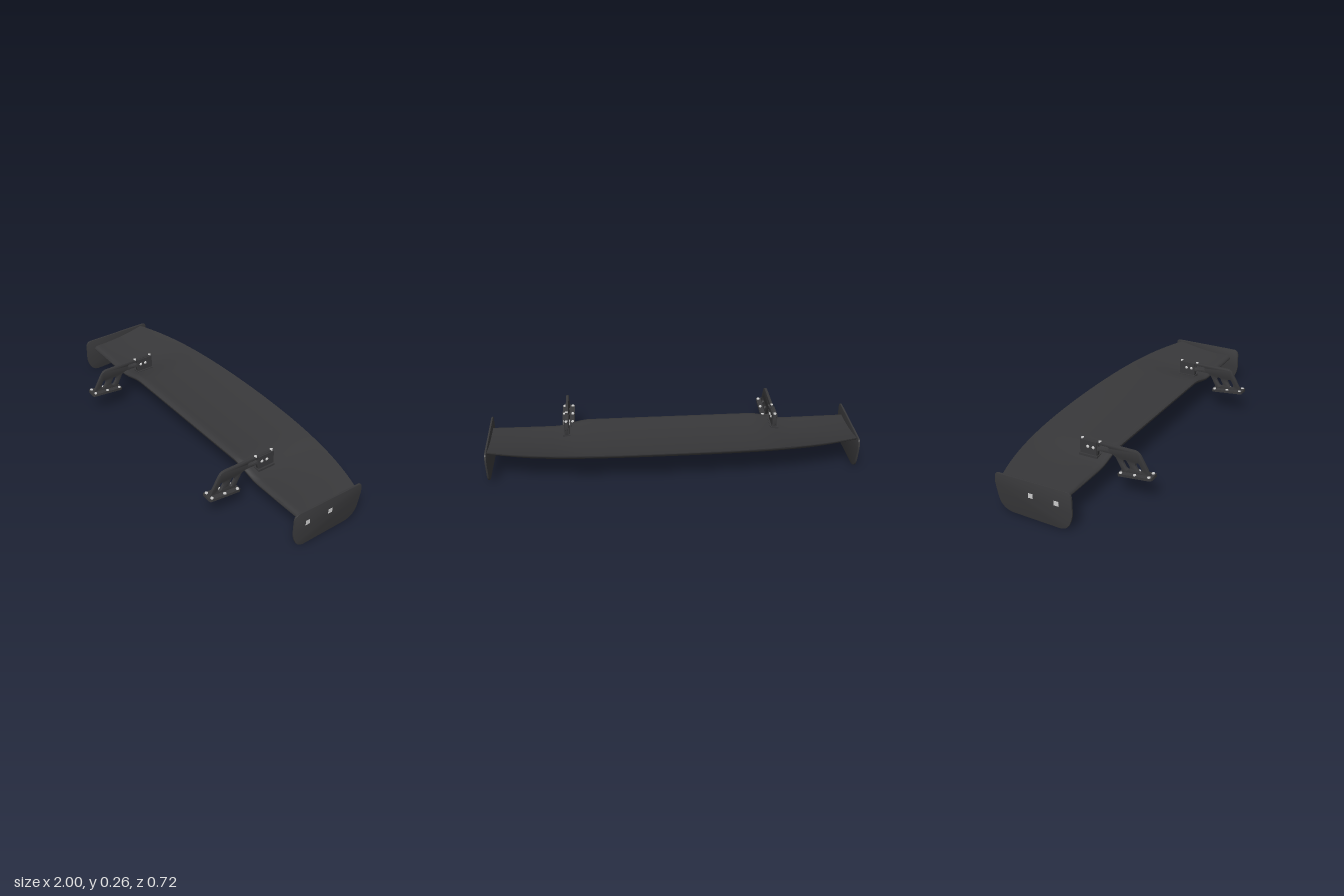
import * as THREE from 'three';
import { toCreasedNormals } from 'three/addons/utils/BufferGeometryUtils.js';

const dark = new THREE.MeshStandardMaterial({ color: 0x38383a });
const grey = new THREE.MeshStandardMaterial({ color: 0xcccccc });
const MOUNT_X = 0.575;
const step = THREE.MathUtils.smoothstep;

function add(parent, name, geometry, material, x = 0, y = 0, z = 0) {
  const mesh = new THREE.Mesh(geometry, material);
  mesh.name = name;
  mesh.position.set(x, y, z);
  parent.add(mesh);
  return mesh;
}

// Wing section at span position x; t runs 0 (leading edge) to 1 (trailing edge)
function wingPoint(x, t, isTop) {
  const a = Math.abs(x);
  const drop = step(a, 0.45, 0.65), tip = step(a, 0.7, 1);
  const lead = 0.205 - 0.037 * drop;
  const trail = 0.227 - 0.022 * a * a;
  const sag = 0.02 - 0.008 * tip;
  const thick = 0.065 - 0.01 * drop - 0.015 * tip;
  const trailZ = -0.36 + 0.06 * a ** 2 + 0.06 * a ** 4;
  let y = lead + (trail - lead) * t - sag * 4 * t * (1 - t);
  y -= 0.015 * Math.max(0, 1 - t / 0.06) ** 2;
  if (!isTop) y -= 0.003 + thick * Math.pow(1 - t, 0.6) * Math.pow(t, 0.45) / 0.488;
  return [x, y, 0.097 + (trailZ - 0.097) * t];
}

function wingGeometry() {
  const spans = 64, n = 24, ring = 2 * (n + 1);
  const pos = [], index = [];
  for (let i = 0; i <= spans; i++) {
    const x = -0.992 + 1.984 * i / spans;
    for (let j = 0; j < ring; j++) {
      const isTop = j <= n;
      const k = isTop ? 1 - j / n : (j - n - 1) / n;
      pos.push(...wingPoint(x, (1 - Math.cos(Math.PI * k)) / 2, isTop));
      if (i === spans) continue;
      const next = (j + 1) % ring;
      const p = i * ring + j, q = i * ring + next;
      index.push(p, q, p + ring, q, q + ring, p + ring);
    }
  }
  const g = new THREE.BufferGeometry();
  g.setAttribute('position', new THREE.Float32BufferAttribute(pos, 3));
  g.setIndex(index);
  return toCreasedNormals(g, 0.8);
}

// Closed outline in (z, y) with rounded corners; each corner is [z, y, radius]
function roundedShape(corners) {
  const shape = new THREE.Shape();
  const v = corners.map(c => new THREE.Vector2(c[0], c[1]));
  const n = v.length;
  v.forEach((p, i) => {
    const toward = q => q.clone().sub(p).setLength(corners[i][2]).add(p);
    const start = toward(v[(i + n - 1) % n]), end = toward(v[(i + 1) % n]);
    if (i === 0) shape.moveTo(start.x, start.y);
    else shape.lineTo(start.x, start.y);
    shape.quadraticCurveTo(p.x, p.y, end.x, end.y);
  });
  shape.closePath();
  return shape;
}

// Slot hole between two points with round ends
function slot(z1, y1, z2, y2, r) {
  const path = new THREE.Path();
  const a = Math.atan2(y2 - y1, z2 - z1), h = Math.PI / 2;
  path.absarc(z2, y2, r, a - h, a + h);
  path.absarc(z1, y1, r, a + h, a + 3 * h);
  path.closePath();
  return path;
}

// Sheet cut from a (z, y) shape, centred across x
function sheet(shape, thickness, bevel) {
  const g = new THREE.ExtrudeGeometry(shape, {
    depth: thickness - 2 * bevel, bevelEnabled: bevel > 0, bevelSize: bevel,
    bevelThickness: bevel, bevelOffset: -bevel, bevelSegments: 2, curveSegments: 10,
  });
  g.translate(0, 0, -(thickness - 2 * bevel) / 2);
  g.rotateY(-Math.PI / 2);
  return toCreasedNormals(g, 0.6);
}

function endPlate() {
  const g = new THREE.Group();
  const outline = roundedShape([
    [0.15, 0.213, 0.035], [-0.28, 0.213, 0.018], [-0.287, 0.165, 0.02], [-0.255, 0.014, 0.075],
    [0.115, 0.002, 0.04], [0.152, 0.07, 0.04],
  ]);
  add(g, 'endPlateSheet', sheet(outline, 0.01, 0.002), dark);
  for (const z of [0.065, -0.08]) {
    add(g, 'endPlateFastener', new THREE.BoxGeometry(0.012, 0.026, 0.026), grey, 0, 0.136, z);
  }
  return g;
}

function mount() {
  const g = new THREE.Group();

  // Swan-neck arm with lightening slots
  const arm = roundedShape([
    [0.347, 0.136, 0.002], [0.275, 0.263, 0.03], [-0.055, 0.263, 0.008], [-0.055, 0.18, 0.002],
    [0.042, 0.18, 0.002], [0.048, 0.213, 0.008], [0.142, 0.213, 0.025], [0.19, 0.122, 0.002],
  ]);
  arm.holes.push(
    slot(0.284, 0.162, 0.27, 0.186, 0.0125),
    slot(0.215, 0.162, 0.201, 0.186, 0.0125),
    slot(0.1, 0.238, 0.056, 0.238, 0.008),
  );
  add(g, 'mountArm', sheet(arm, 0.014, 0.001), dark);

  // Side brackets and bolts clamping the arm
  for (const side of [-1, 1]) {
    add(g, 'clampPlate', new THREE.BoxGeometry(0.006, 0.08, 0.097), dark, side * 0.01, 0.218, -0.007);
    for (const z of [0.022, -0.01]) {
      const head = new THREE.SphereGeometry(0.009, 16, 8).scale(0.6, 1, 1);
      add(g, 'clampBolt', head, grey, side * 0.013, 0.226, z);
    }
  }

  // Flange resting on the wing
  const flangeY = wingPoint(MOUNT_X, 0.23, true)[1];
  add(g, 'wingFlange', new THREE.BoxGeometry(0.044, 0.012, 0.105), dark, 0, flangeY + 0.003, -0.005);
  for (const z of [0.055, -0.047]) {
    add(g, 'topStud', new THREE.CylinderGeometry(0.008, 0.008, 0.008, 12), grey, 0, 0.262, z);
  }

  // Tilted foot plate with six bolts
  const foot = new THREE.Group();
  foot.name = 'foot';
  foot.position.set(0, 0.13, 0.265);
  foot.rotation.x = -0.1;
  const pad = roundedShape([
    [-0.035, -0.096, 0.012], [0.035, -0.096, 0.012], [0.035, 0.096, 0.012], [-0.035, 0.096, 0.012],
  ]);
  const padGeometry = new THREE.ExtrudeGeometry(pad, { depth: 0.014, bevelEnabled: false });
  padGeometry.translate(0, 0, -0.007).rotateX(-Math.PI / 2);
  add(foot, 'footPlate', toCreasedNormals(padGeometry, 0.6), dark);
  for (const x of [-0.024, 0.024]) {
    for (const z of [-0.08, 0, 0.08]) {
      add(foot, 'footBolt', new THREE.CylinderGeometry(0.008, 0.009, 0.006, 14), grey, x, 0.009, z);
    }
  }
  g.add(foot);
  return g;
}

export function createModel() {
  const model = new THREE.Group();
  model.name = 'rearWing';
  add(model, 'wing', wingGeometry(), dark);
  for (const side of [-1, 1]) {
    const name = side > 0 ? 'left' : 'right';
    const plate = endPlate();
    plate.name = name + 'EndPlate';
    plate.position.x = side * 0.994;
    const support = mount();
    support.name = name + 'Mount';
    support.position.x = side * MOUNT_X;
    model.add(plate, support);
  }
  return model;
}
